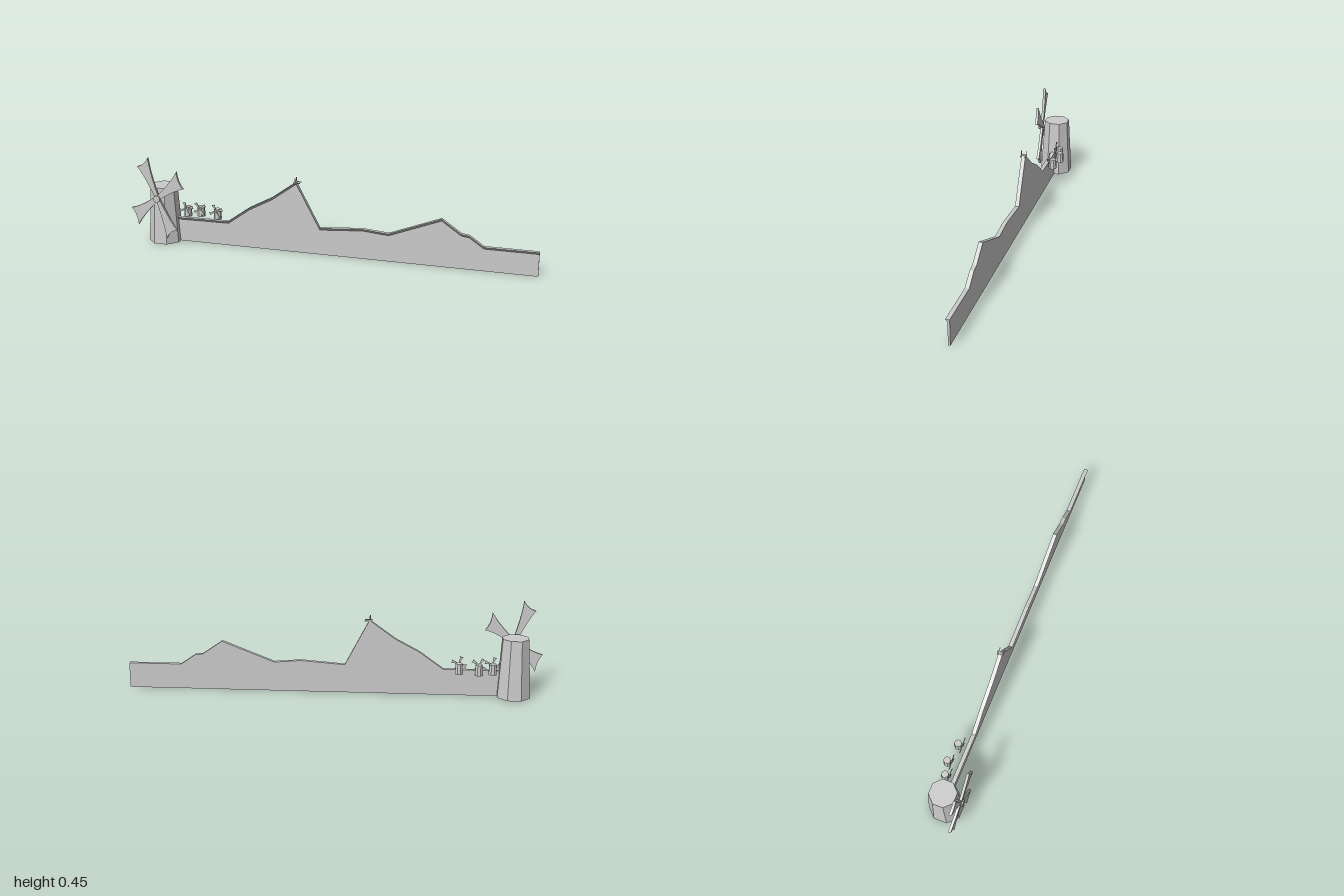
import * as THREE from 'three';

const grey = new THREE.MeshStandardMaterial({ color: 0xcccccc, flatShading: true });

function add(parent, name, geometry, x = 0, y = 0, z = 0) {
  const mesh = new THREE.Mesh(geometry, grey);
  mesh.name = name;
  mesh.position.set(x, y, z);
  parent.add(mesh);
  return mesh;
}

// Skyline as a wall: one cross-section carried along the ridge points [x, y]
function ridgeGeometry(ridge) {
  const rings = ridge.map(([x, y]) => [
    [x, y, -0.018], [x, y, 0.002], [x, y - 0.012, -0.008], [x, 0, -0.008], [x, 0, -0.018],
  ]);
  const pos = [];
  const tri = (...corners) => corners.forEach((c) => pos.push(...c));
  for (let k = 0; k < rings.length - 1; k++) {
    const a = rings[k], b = rings[k + 1];
    for (let i = 0; i < 5; i++) {
      const j = (i + 1) % 5;
      tri(a[i], a[j], b[j]);
      tri(a[i], b[j], b[i]);
    }
  }
  const first = rings[0], last = rings[rings.length - 1];
  for (let i = 1; i < 4; i++) {
    tri(last[0], last[i], last[i + 1]);
    tri(first[0], first[i + 1], first[i]);
  }
  const g = new THREE.BufferGeometry();
  g.setAttribute('position', new THREE.Float32BufferAttribute(pos, 3));
  g.computeVertexNormals();
  return g;
}

// One flared sail with a hollowed tip, pointing along +x
function sailGeometry(length, thickness) {
  const s = new THREE.Shape();
  const w = length * 0.23;
  s.moveTo(0, -w * 0.25);
  s.quadraticCurveTo(length * 0.65, -w * 0.45, length * 0.975, -w);
  s.quadraticCurveTo(length * 0.88, 0, length * 0.975, w);
  s.quadraticCurveTo(length * 0.65, w * 0.45, 0, w * 0.25);
  s.closePath();
  const g = new THREE.ExtrudeGeometry(s, { depth: thickness, bevelEnabled: false, curveSegments: 5 });
  return g.translate(0, 0, -thickness / 2);
}

// Octagonal tower with four sails, a shaft and a hub in front
function windmill(name, o) {
  const mill = new THREE.Group();
  mill.name = name;
  const body = new THREE.CylinderGeometry(o.top, o.base, o.height, 8);
  body.rotateY(Math.PI / 8);
  add(mill, 'tower', body, 0, o.height / 2, 0);

  const rotor = new THREE.Group();
  rotor.name = 'sails';
  rotor.position.set(0, o.hubY, o.sailZ);
  rotor.scale.y = o.stretch;
  for (let i = 0; i < 4; i++) {
    const sail = add(rotor, 'sail', sailGeometry(o.sail, o.thickness));
    sail.rotation.z = o.turn + (i * Math.PI) / 2;
  }
  mill.add(rotor);

  const back = o.top * 0.6, front = o.sailZ + o.hub * 0.7;
  const shaft = new THREE.CylinderGeometry(o.hub * 0.4, o.hub * 0.4, front - back, 8);
  add(mill, 'shaft', shaft.rotateX(Math.PI / 2), 0, o.hubY, (front + back) / 2);
  const hub = new THREE.CylinderGeometry(o.hub, o.hub, o.hub * 0.4, 10);
  add(mill, 'hub', hub.rotateX(Math.PI / 2), 0, o.hubY, front);
  return mill;
}

export function createModel() {
  const model = new THREE.Group();
  model.name = 'windmillSkyline';

  // Mountain ridge
  add(model, 'mountainRidge', ridgeGeometry([
    [-0.83, 0.125], [-0.523, 0.128], [-0.41, 0.21], [-0.294, 0.272], [-0.17, 0.362],
    [-0.053, 0.139], [0.16, 0.155], [0.288, 0.144], [0.54, 0.243], [0.635, 0.177],
    [0.673, 0.172], [0.743, 0.123], [1, 0.123],
  ]));

  // Large windmill
  const big = windmill('largeWindmill', {
    top: 0.066, base: 0.0845, height: 0.288, hubY: 0.244, sailZ: 0.083,
    sail: 0.144, thickness: 0.013, stretch: 1.48, turn: 0.51, hub: 0.018,
  });
  big.position.set(-0.86, 0, -0.011);
  model.add(big);

  // Three small windmills behind the low end of the ridge
  [[-0.755, -0.054, 0.3], [-0.69, -0.07, 0.6], [-0.597, -0.054, 0.35]].forEach(([x, z, turn]) => {
    const small = windmill('smallWindmill', {
      top: 0.0175, base: 0.0205, height: 0.051, hubY: 0.043, sailZ: 0.022,
      sail: 0.038, thickness: 0.003, stretch: 1, turn, hub: 0.005,
    });
    small.position.set(x, 0.119, z);
    model.add(small);
  });

  // Small marker straddling the peak
  const marker = new THREE.Group();
  marker.name = 'peakMarker';
  for (const z of [0.003, -0.021]) {
    add(marker, 'post', new THREE.BoxGeometry(0.004, 0.03, 0.003), -0.173, 0.368, z);
    add(marker, 'sideBar', new THREE.BoxGeometry(0.036, 0.004, 0.003), -0.165, 0.36, z);
  }
  add(marker, 'crossBar', new THREE.BoxGeometry(0.012, 0.006, 0.024), -0.171, 0.361, -0.009);
  model.add(marker);

  return model;
}
